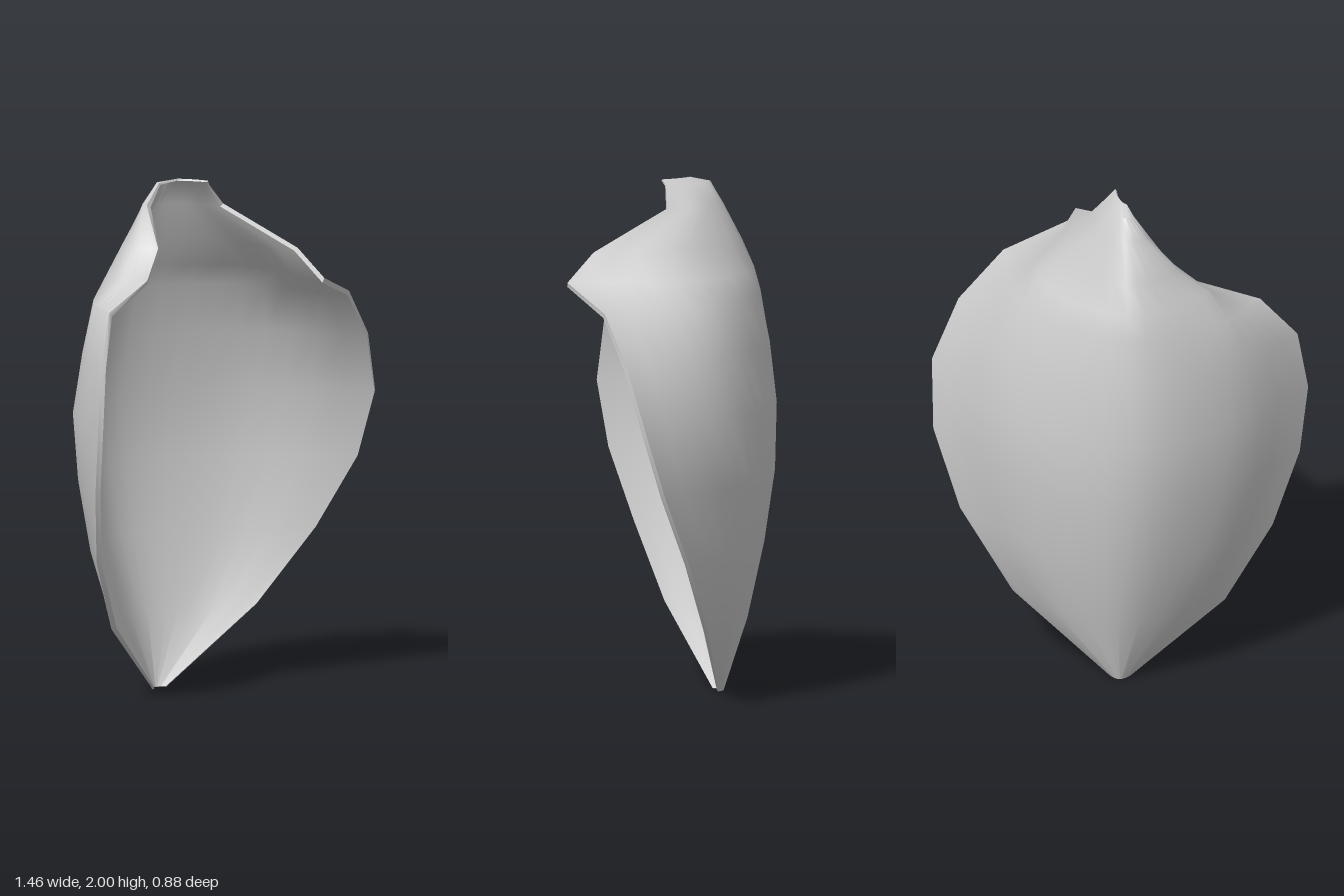
import * as THREE from 'three';
import { toCreasedNormals } from 'three/addons/utils/BufferGeometryUtils.js';

const SEGMENTS = 20;
const THICKNESS = 0.02;

// Cross-sections from the tip up: height, then (x, z) pairs from the right edge (-x), round the back, to the left edge (+x)
const SECTIONS = [
  [0.00, -0.06, -0.20, -0.04, -0.222, -0.02, -0.23, 0.00, -0.222, 0.02, -0.20],
  [0.29, -0.42, -0.10, -0.22, -0.25, -0.02, -0.32, 0.20, -0.24, 0.40, -0.07],
  [0.58, -0.60, -0.02, -0.34, -0.27, -0.05, -0.39, 0.30, -0.25, 0.61, 0.05],
  [0.86, -0.70, 0.06, -0.42, -0.27, -0.07, -0.435, 0.36, -0.25, 0.72, 0.17],
  [1.12, -0.73, 0.10, -0.45, -0.27, -0.08, -0.445, 0.40, -0.22, 0.73, 0.25],
  [1.36, -0.69, 0.08, -0.44, -0.23, -0.07, -0.42, 0.40, -0.15, 0.63, 0.30],
  [1.55, -0.55, 0.00, -0.40, -0.21, -0.06, -0.385, 0.36, -0.10, 0.46, 0.35],
  [1.64, -0.29, -0.03, -0.36, -0.13, -0.06, -0.36, 0.31, -0.05, 0.21, 0.44],
  [1.75, -0.19, -0.06, -0.24, -0.17, -0.05, -0.31, 0.18, -0.04, 0.18, 0.33],
  [1.90, -0.13, -0.17, -0.12, -0.20, -0.04, -0.23, 0.07, -0.13, 0.10, 0.02],
  [1.98, -0.07, -0.16, -0.06, -0.18, -0.03, -0.18, 0.01, -0.10, 0.03, 0.01],
  [2.00, -0.04, -0.10, -0.035, -0.10, -0.02, -0.08, 0.00, -0.03, 0.01, 0.02],
];

function shellGeometry() {
  const cols = SEGMENTS + 1, rows = SECTIONS.length, count = cols * rows;
  const positions = [], sheet = [];

  // Outer sheet: a smooth curve through each section
  for (const [y, ...xz] of SECTIONS) {
    const points = [];
    for (let i = 0; i < xz.length; i += 2) points.push(new THREE.Vector3(xz[i], y, xz[i + 1]));
    const curve = new THREE.CatmullRomCurve3(points);
    for (let i = 0; i < cols; i++) positions.push(...curve.getPoint(i / SEGMENTS).toArray());
  }
  for (let r = 0; r < rows - 1; r++) {
    for (let c = 0; c < SEGMENTS; c++) {
      const a = r * cols + c, b = a + 1, d = a + cols, e = d + 1;
      sheet.push(a, b, e, a, e, d);
    }
  }

  // Inner sheet: the outer one moved along its inward normals, thinner at both tips
  const inner = new THREE.BufferGeometry();
  inner.setAttribute('position', new THREE.Float32BufferAttribute(positions, 3));
  inner.setIndex(sheet);
  inner.computeVertexNormals();
  const normals = inner.attributes.normal.array;
  const innerPositions = positions.map((p, i) => {
    const row = Math.floor(i / 3 / cols);
    const tip = row === 0 || row >= rows - 2;
    return p + normals[i] * THICKNESS * (tip ? 0.4 : 1);
  });
  for (let i = 1; i < innerPositions.length; i += 3) {
    innerPositions[i] = THREE.MathUtils.clamp(innerPositions[i], 0, 2);
  }

  const index = sheet.map((i) => i + count);
  for (let i = 0; i < sheet.length; i += 3) index.push(sheet[i], sheet[i + 2], sheet[i + 1]);

  // Rim: joins the two sheets all the way round
  const rim = [];
  for (let c = 0; c < SEGMENTS; c++) rim.push(c);
  for (let r = 0; r < rows - 1; r++) rim.push(r * cols + SEGMENTS);
  for (let c = SEGMENTS; c > 0; c--) rim.push((rows - 1) * cols + c);
  for (let r = rows - 1; r > 0; r--) rim.push(r * cols);
  rim.forEach((a, i) => {
    const b = rim[(i + 1) % rim.length];
    index.push(a, b, b + count, a, b + count, a + count);
  });

  const geometry = new THREE.BufferGeometry();
  geometry.setAttribute('position', new THREE.Float32BufferAttribute([...positions, ...innerPositions], 3));
  geometry.setIndex(index);
  return toCreasedNormals(geometry, Math.PI / 3.5);
}

export function createModel() {
  const paleGrey = new THREE.MeshStandardMaterial({ color: 0xcccccc, side: THREE.DoubleSide });
  paleGrey.name = 'paleGrey';

  const model = new THREE.Group();
  model.name = 'hoodedPetal';
  const shell = new THREE.Mesh(shellGeometry(), paleGrey);
  shell.name = 'petalShell';
  model.add(shell);
  return model;
}
